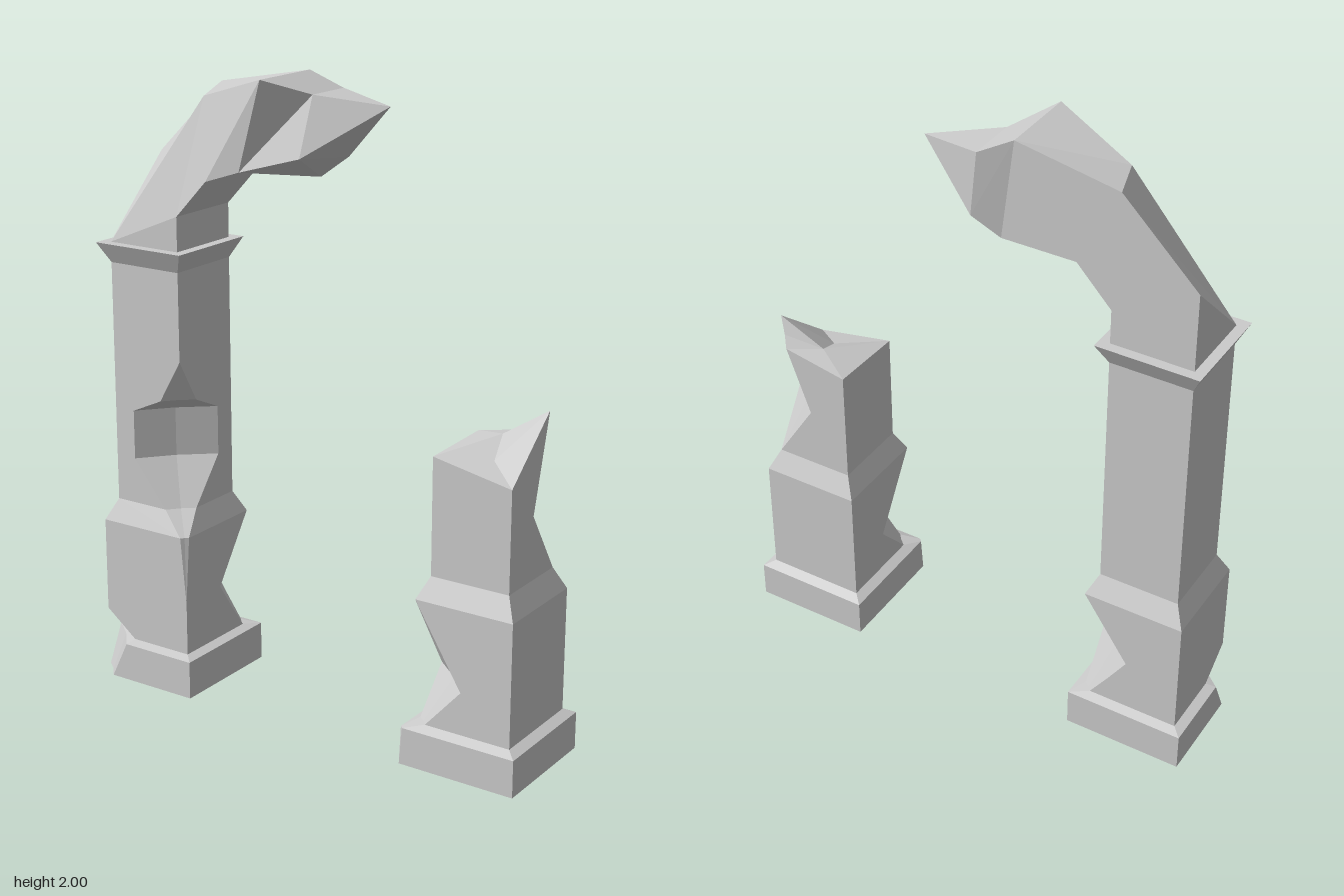
import * as THREE from 'three';

const material = new THREE.MeshStandardMaterial({ color: 0xcccccc, flatShading: true });

function toMesh(name, tris) {
  const geo = new THREE.BufferGeometry();
  geo.setAttribute('position', new THREE.Float32BufferAttribute(tris.flat(2), 3));
  geo.computeVertexNormals();
  const mesh = new THREE.Mesh(geo, material);
  mesh.name = name;
  return mesh;
}

// Skin a stack of equal-sized rings; the first ring is closed underneath
function loft(rings) {
  const tris = [];
  const n = rings[0].length;
  for (let r = 0; r + 1 < rings.length; r++) {
    const a = rings[r], b = rings[r + 1];
    for (let i = 0; i < n; i++) {
      const j = (i + 1) % n;
      tris.push([a[i], a[j], b[i]], [a[j], b[j], b[i]]);
    }
  }
  for (let i = 1; i + 1 < n; i++) tris.push([rings[0][0], rings[0][i + 1], rings[0][i]]);
  return tris;
}

// Square ring whose corners can be chipped away.
// Corner order: front left, back left, back right, front right (model's own sides).
const CORNERS = [[1, 1], [1, -1], [-1, -1], [-1, 1]];
function ring(y, h, cuts = [0, 0, 0, 0], depth = 0.54) {
  const pts = [];
  CORNERS.forEach(([sx, sz], c) => {
    const w = cuts[c], m = w * depth;
    const alongX = [sx * (h - w), y, sz * h];
    const alongZ = [sx * h, y, sz * (h - w)];
    const middle = [sx * (h - m), y, sz * (h - m)];
    pts.push(...(c % 2 ? [alongZ, middle, alongX] : [alongX, middle, alongZ]));
  });
  return pts;
}

const BASE = 0.195, PLINTH = 0.164, SHAFT = 0.131;

function tallPillar() {
  const rings = [
    ring(0, BASE, [0, 0, 0, 0.07]),
    ring(0.125, BASE, [0, 0, 0, 0.13]),
    ring(0.135, PLINTH, [0, 0.03, 0, 0.11]),
    ring(0.22, PLINTH, [0, 0.09, 0, 0]),
    ring(0.31, PLINTH, [0, 0.15, 0, 0]),
    ring(0.53, PLINTH, [0.02, 0, 0, 0]),
    // gouged shaft
    ring(0.60, SHAFT, [0.07, 0, 0, 0]),
    ring(0.75, SHAFT, [0.19, 0, 0, 0]),
    ring(0.91, SHAFT, [0.19, 0, 0, 0]),
    ring(0.96, SHAFT, [0.08, 0, 0, 0]),
    ring(1.10, SHAFT),
    // flared moulding
    ring(1.385, SHAFT),
    ring(1.45, PLINTH),
    ring(1.45, SHAFT),
  ];
  return toMesh('tallPillar', loft(rings));
}

function brokenPillar() {
  const top = ring(0.97, SHAFT, [0, 0.05, 0, 0]);
  const heights = [0.92, 0.92, 0.92, 1.10, 1.05, 1.02, 0.98, 0.98, 0.98, 0.97, 0.97, 0.97];
  top.forEach((p, i) => { p[1] = heights[i]; });
  const tris = loft([
    ring(0, BASE),
    ring(0.12, BASE, [0, 0, 0, 0.01]),
    ring(0.135, PLINTH, [0, 0, 0, 0.04]),
    ring(0.27, PLINTH, [0, 0, 0, 0.16]),
    ring(0.53, PLINTH),
    ring(0.60, SHAFT),
    ring(0.80, SHAFT, [0, 0.13, 0, 0]),
    top,
  ]);
  // jagged top: the rim runs in to two inner points
  const back = [-0.01, 1.01, -0.06], front = [0.02, 0.96, 0.04];
  top.forEach((p, i) => {
    tris.push([p, top[(i + 1) % 12], i >= 3 && i < 9 ? back : front]);
  });
  tris.push([top[3], back, front], [top[9], front, back]);
  return toMesh('brokenPillar', tris);
}

// Broken arch: sections of outer back, outer front, inner front, inner back
function arch() {
  const tip = [0.155, 1.92, -0.103];
  const d = SHAFT;
  return toMesh('archFragment', loft([
    [[-0.725, 1.45, -d], [-0.725, 1.45, d], [-0.463, 1.45, d], [-0.463, 1.45, -d]],
    [[-0.725, 1.70, -d], [-0.725, 1.45, d], [-0.463, 1.56, d], [-0.463, 1.56, -d]],
    [[-0.48, 1.94, -d], [-0.42, 1.92, 0.04], [-0.35, 1.68, d], [-0.35, 1.68, -d]],
    [[-0.15, 2.0, -d], [-0.15, 2.0, 0.125], [-0.23, 1.72, 0.125], [-0.11, 1.68, -d]],
    [[-0.05, 1.95, -0.163], [-0.05, 1.95, 0], [-0.05, 1.77, 0.07], [-0.03, 1.745, -0.163]],
    [tip, tip, tip, tip],
  ]));
}

export function createModel() {
  const group = new THREE.Group();
  group.name = 'ruinedArch';
  const tall = tallPillar(), broken = brokenPillar();
  tall.position.x = -0.594;
  broken.position.x = 0.59;
  group.add(tall, broken, arch());
  return group;
}
